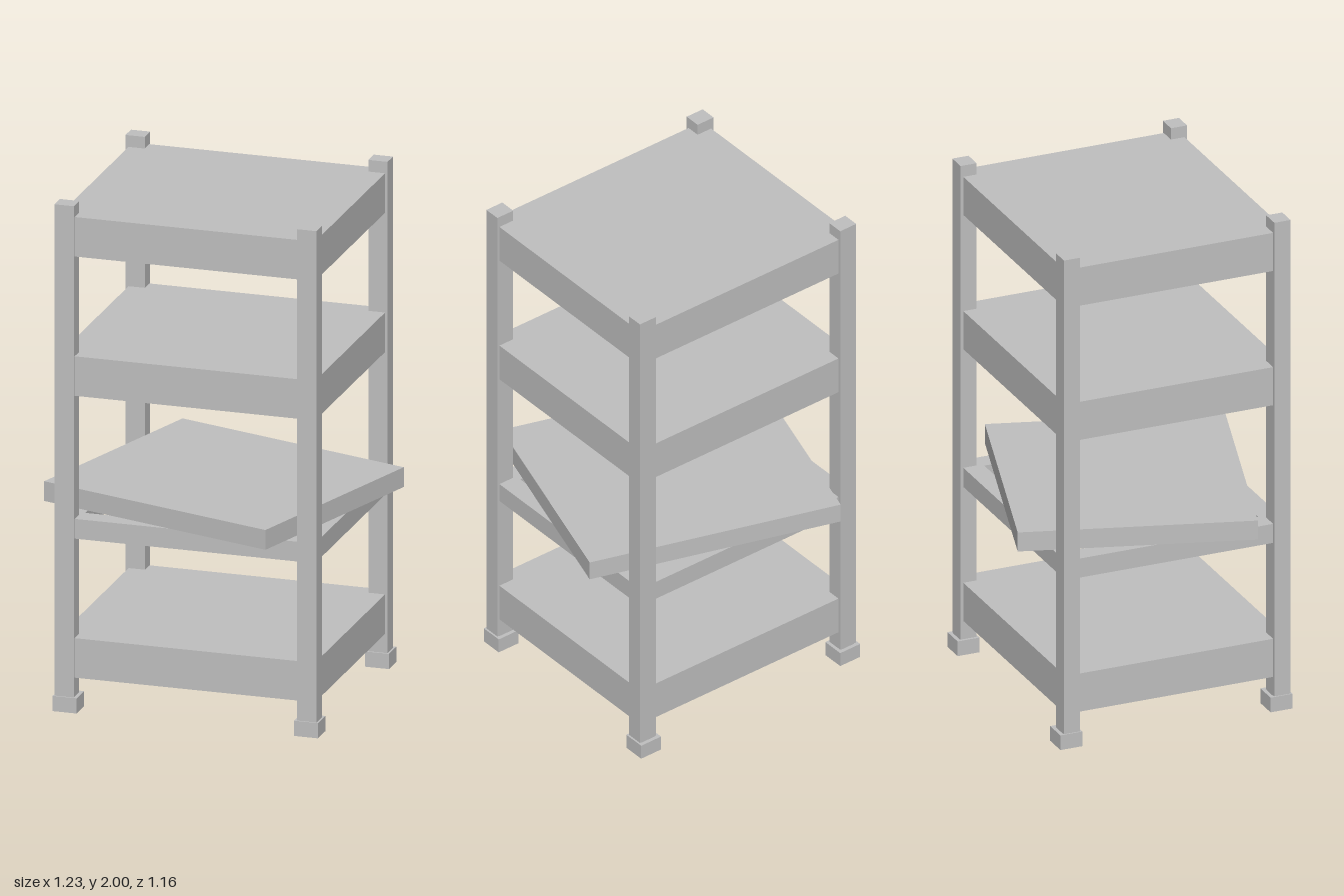
import * as THREE from 'three';

const grey = new THREE.MeshStandardMaterial({ color: 0xc0c0c0 });
grey.name = 'grey';

// Mesh from a box given by its minimum and maximum corners
function box(name, [x0, y0, z0], [x1, y1, z1]) {
  const mesh = new THREE.Mesh(new THREE.BoxGeometry(x1 - x0, y1 - y0, z1 - z0), grey);
  mesh.position.set((x0 + x1) / 2, (y0 + y1) / 2, (z0 + z1) / 2);
  mesh.name = name;
  return mesh;
}

// Rectangular ring lying flat, its underside at y
function ring(name, width, depth, height, wall, x, y, z) {
  const rect = (Path, w, d) => new Path().moveTo(-w / 2, -d / 2).lineTo(w / 2, -d / 2)
    .lineTo(w / 2, d / 2).lineTo(-w / 2, d / 2).closePath();
  const shape = rect(THREE.Shape, width, depth);
  shape.holes.push(rect(THREE.Path, width - 2 * wall, depth - 2 * wall));
  const geometry = new THREE.ExtrudeGeometry(shape, { depth: height, bevelEnabled: false });
  geometry.rotateX(-Math.PI / 2);
  const mesh = new THREE.Mesh(geometry, grey);
  mesh.position.set(x, y, z);
  mesh.name = name;
  return mesh;
}

export function createModel() {
  const model = new THREE.Group();
  model.name = 'shelfUnit';

  // Corner posts, each standing in a hollow square foot
  for (const [px, fx] of [[-0.481, -0.477], [0.475, 0.473]]) {
    for (const [pz, fz] of [[-0.433, -0.438], [0.429, 0.423]]) {
      model.add(box('post', [px - 0.038, 0.025, pz - 0.033], [px + 0.038, 2, pz + 0.033]));
      model.add(ring('foot', 0.095, 0.09, 0.06, 0.015, fx, 0, fz));
    }
  }

  // Shelves: a board on an open frame; one board has been knocked askew
  const width = 1.01, depth = 0.906, half = 0.078, mid = -0.002;
  for (const [y, turn] of [[0.135, 0], [0.684, -0.295], [1.248, 0], [1.798, 0]]) {
    const shelf = new THREE.Group();
    shelf.name = 'shelf';
    shelf.position.set(mid, y, mid);
    shelf.add(ring('shelfFrame', width, depth, half, 0.08, 0, 0, 0));
    const board = box('shelfBoard', [-width / 2, half, -depth / 2], [width / 2, 2 * half, depth / 2]);
    board.rotation.y = turn;
    shelf.add(board);
    model.add(shelf);
  }
  return model;
}
